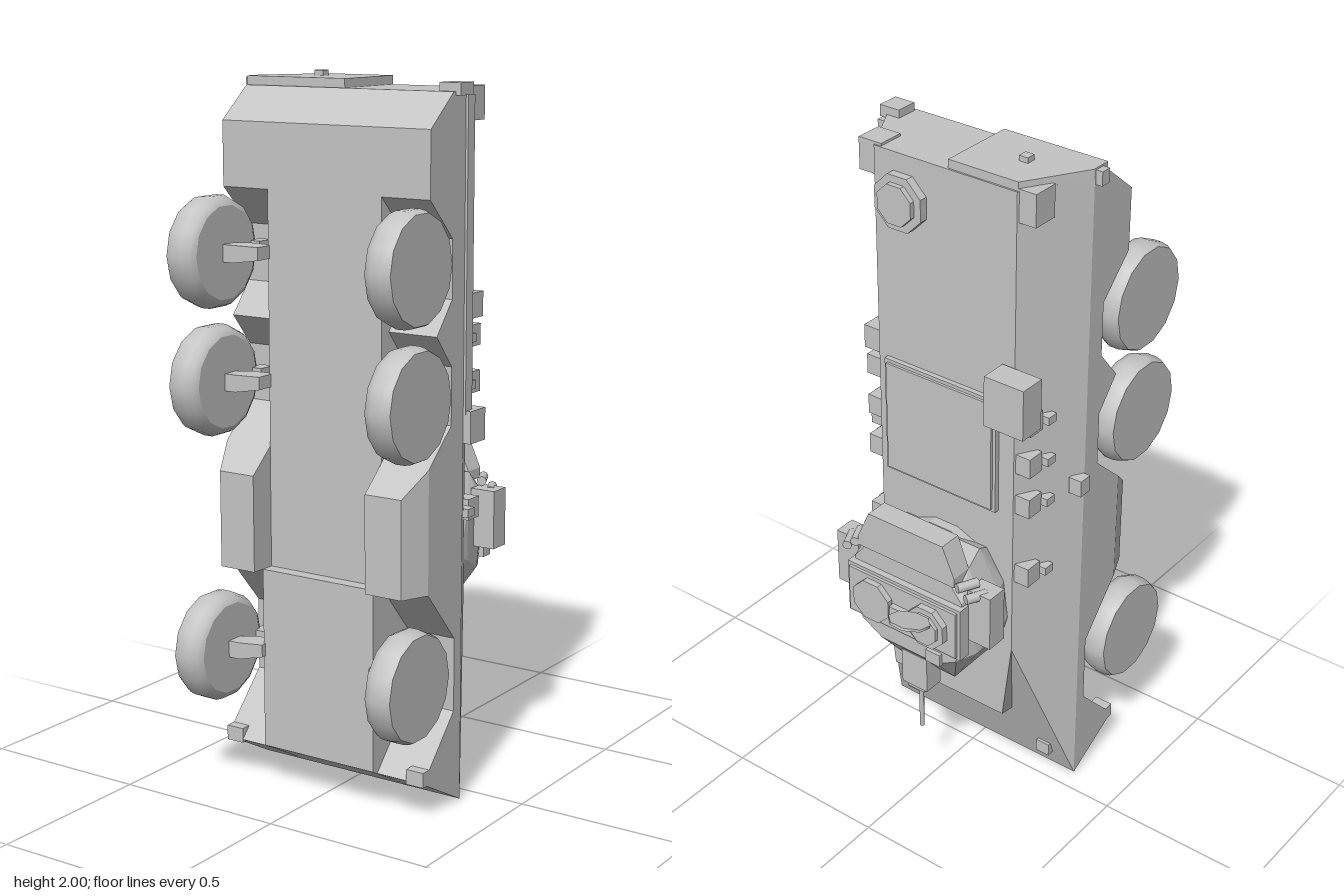
import * as THREE from 'three';
import { ConvexGeometry } from 'three/addons/geometries/ConvexGeometry.js';

// Six-wheeled armoured vehicle standing on its nose: belly +z, roof -z, nose at y = 0.
export function createModel() {
  const model = new THREE.Group();
  const grey = new THREE.MeshStandardMaterial({ color: 0xc4c4c4 });
  grey.name = 'hull grey';

  const add = (name, geo, parent = model) => {
    const mesh = new THREE.Mesh(geo, grey);
    mesh.name = name;
    parent.add(mesh);
    return mesh;
  };
  // Box from its limits on each axis
  const box = (name, x0, x1, y0, y1, z0, z1) => {
    const m = add(name, new THREE.BoxGeometry(x1 - x0, y1 - y0, z1 - z0));
    m.position.set((x0 + x1) / 2, (y0 + y1) / 2, (z0 + z1) / 2);
    return m;
  };
  // Convex solid from corner points
  const solid = (name, pts) =>
    add(name, new ConvexGeometry(pts.map(p => new THREE.Vector3(...p))));
  // Corner list mirrored over x
  const both = pts => pts.flatMap(([x, y, z]) => [[x, y, z], [-x, y, z]]);
  // Side profile of (z, y) points, extruded from x0 to x1
  const sideProfile = (name, pts, x0, x1) => {
    const shape = new THREE.Shape(pts.map(p => new THREE.Vector2(...p)));
    const geo = new THREE.ExtrudeGeometry(shape, { depth: x1 - x0, bevelEnabled: false });
    geo.rotateY(-Math.PI / 2).translate(x1, 0, 0);
    return add(name, geo);
  };
  // Disc whose axis runs along z
  const disc = (name, r0, r1, x, y, z0, z1, sides = 8) => {
    const geo = new THREE.CylinderGeometry(r0, r1, z1 - z0, sides);
    geo.rotateY(Math.PI / sides).rotateX(-Math.PI / 2);
    const m = add(name, geo.toNonIndexed());
    m.geometry.computeVertexNormals();
    m.position.set(x, y, (z0 + z1) / 2);
    return m;
  };

  // Upper hull with sloped sides and long front plate
  solid('upperHull', both([
    [0.335, 0, 0.064], [0.335, 1.96, 0.064], [0.23, 0.53, -0.12], [0.23, 1.96, -0.12],
  ]));
  // Lower hull core
  sideProfile('lowerHull', [
    [0.064, 0], [0.275, 0.115], [0.275, 0.635], [0.235, 0.635],
    [0.235, 1.87], [0.125, 1.96], [0.064, 1.96],
  ], -0.185, 0.185);
  // Raised block behind the front plate
  solid('frontBlock', both([
    [0.15, 0.2, 0], [0.2, 0.28, -0.12], [0.23, 0.53, -0.12], [0.2, 0.5, -0.05],
  ]));

  // Side skirts with wheel arches
  const skirt = [
    [0.064, 0], [0.255, 0.105], [0.1, 0.27], [0.1, 0.48], [0.235, 0.635], [0.235, 0.98],
    [0.125, 1.08], [0.125, 1.24], [0.2, 1.33], [0.125, 1.42], [0.125, 1.58],
    [0.235, 1.69], [0.235, 1.87], [0.125, 1.96], [0.064, 1.96],
  ];
  sideProfile('leftSkirt', skirt, 0.185, 0.335);
  sideProfile('rightSkirt', skirt, -0.335, -0.185);

  // Tyre, closed by flat faces
  const tyre = new THREE.LatheGeometry([
    [0.13, -0.044], [0.147, -0.034], [0.156, -0.012], [0.156, 0.015], [0.152, 0.034], [0.147, 0.044],
  ].map(p => new THREE.Vector2(...p)), 14);
  const outerFace = new THREE.CircleGeometry(0.147, 14).rotateZ(Math.PI / 2).rotateX(-Math.PI / 2);
  outerFace.translate(0, 0.044, 0);
  const innerFace = new THREE.CircleGeometry(0.13, 14).rotateZ(Math.PI / 2).rotateX(Math.PI / 2);
  innerFace.translate(0, -0.044, 0);

  for (const s of [1, -1]) {
    const sideBox = (name, x0, x1, ...rest) =>
      box(name, Math.min(s * x0, s * x1), Math.max(s * x0, s * x1), ...rest);

    // Wheels and axles
    for (const y of [0.4, 1.165, 1.52]) {
      const wheel = new THREE.Group();
      wheel.name = 'wheel';
      add('tyre', tyre, wheel);
      add('wheelFace', outerFace, wheel);
      add('wheelBack', innerFace, wheel);
      wheel.position.set(s * 0.314, y, 0.31);
      wheel.rotation.z = -s * Math.PI / 2;
      model.add(wheel);
      solid('axle', [-1, 1].flatMap(k => [
        [s * 0.18, y + k * 0.018, 0.22], [s * 0.18, y + k * 0.018, 0.29],
        [s * 0.235, y + k * 0.024, 0.25], [s * 0.235, y + k * 0.024, 0.325],
        [s * 0.275, y + k * 0.024, 0.28], [s * 0.275, y + k * 0.024, 0.325],
      ]));
      sideBox('hubBracket', 0.24, 0.28, y - 0.022, y + 0.022, 0.145, 0.2);
    }

    // Belly pannier between the axles
    solid('pannier', [
      [s * 0.185, 0.635, 0.2], [s * 0.185, 0.98, 0.2], [s * 0.335, 0.635, 0.2], [s * 0.335, 0.98, 0.2],
      [s * 0.335, 0.98, 0.235], [s * 0.335, 0.635, 0.235], [s * 0.185, 0.98, 0.235],
      [s * 0.185, 0.635, 0.315], [s * 0.185, 0.91, 0.315], [s * 0.3, 0.635, 0.315], [s * 0.3, 0.91, 0.315],
    ]);

    // Periscope blocks along the roof edge
    for (const y of [0.8, 1.03, 1.16, 1.29]) {
      sideBox('periscope', 0.22, 0.28, y - 0.03, y + 0.03, -0.115, -0.06);
      sideBox('periscopeMount', 0.25, 0.3, y - 0.012, y + 0.012, -0.06, -0.025);
    }
    sideBox('rearCornerLamp', 0.21, 0.285, 1.875, 1.967, -0.115, -0.035);
    sideBox('noseLamp', 0.28, 0.335, 0.095, 0.138, 0.2, 0.255);
    sideBox('frontLamp', 0.225, 0.27, 0.06, 0.1, 0.02, 0.07);

    // Turret cheek boxes and smoke tubes
    sideBox('cheekBox', 0.195, 0.272, 0.65, 0.82, -0.278, -0.213);
    for (const i of [0, 1]) {
      const tube = add('smokeTube', new THREE.CylinderGeometry(0.014, 0.014, 0.065, 8));
      tube.position.set(s * (0.195 + i * 0.03), 0.835 - i * 0.025, -0.278);
      tube.rotation.set(-Math.PI / 2, 0, s * 0.45);
    }
  }

  // Rear door and handle
  const door = new THREE.Shape([[-0.335, -0.12], [-0.01, -0.12], [-0.01, 0.115], [-0.23, 0.115], [-0.335, -0.06]]
    .map(p => new THREE.Vector2(...p)));
  add('rearDoor', new THREE.ExtrudeGeometry(door, { depth: 0.025, bevelEnabled: false })
    .rotateX(-Math.PI / 2)).position.y = 1.96;
  box('doorHandle', -0.184, -0.156, 1.98, 2, -0.014, 0.014);

  // Side fittings
  box('exhaustPipe', 0.29, 0.342, 1.1, 1.95, 0.03, 0.064);
  box('exhaustBox', 0.295, 0.357, 1.02, 1.11, -0.015, 0.062);
  box('rearLampLeft', 0.285, 0.35, 1.95, 1.983, 0.05, 0.115);
  box('rearLampRight', -0.355, -0.32, 1.94, 1.98, 0.068, 0.1);
  box('sideBracket', -0.355, -0.315, 1.03, 1.08, 0.02, 0.062);
  box('roofEdgeBox', 0.215, 0.287, 1.34, 1.41, -0.115, -0.04);
  box('stowageBox', -0.32, -0.193, 1.31, 1.46, -0.205, -0.125);

  // Roof hatches
  box('roofHatch', -0.18, 0.2, 0.99, 1.345, -0.135, -0.11);
  box('roofHatchLid', -0.17, 0.19, 1.0, 1.335, -0.143, -0.13);
  disc('rearHatch', 0.083, 0.083, 0.135, 1.83, -0.145, -0.11);
  disc('rearHatchLid', 0.06, 0.06, 0.135, 1.83, -0.16, -0.14);

  // Turret body
  disc('turretRing', 0.2, 0.2, 0, 0.68, -0.15, -0.11, 16);
  solid('turret', both([
    [0.14, 0.85, -0.12], [0.2, 0.76, -0.12], [0.215, 0.64, -0.12], [0.19, 0.55, -0.12], [0.09, 0.45, -0.12],
    [0.15, 0.875, -0.165], [0.215, 0.76, -0.165], [0.215, 0.62, -0.165], [0.1, 0.43, -0.215],
    [0.17, 0.86, -0.24], [0.2, 0.8, -0.24], [0.2, 0.58, -0.24],
    [0.15, 0.83, -0.298], [0.19, 0.78, -0.298], [0.17, 0.57, -0.298], [0.1, 0.53, -0.298],
  ]));
  solid('turretBustle', both([
    [0.17, 0.83, -0.235], [0.17, 0.83, -0.305], [0.17, 0.86, -0.24], [0.17, 0.86, -0.305],
    [0.13, 0.95, -0.235], [0.13, 0.95, -0.305],
  ]));

  // Turret roof, hatches and sights
  box('turretRoof', -0.2, 0.2, 0.6, 0.77, -0.318, -0.28);
  box('turretRoofCap', -0.19, 0.19, 0.61, 0.76, -0.327, -0.315);
  disc('commanderHatchRing', 0.068, 0.068, -0.098, 0.685, -0.347, -0.32);
  disc('commanderHatch', 0.05, 0.05, -0.098, 0.685, -0.358, -0.345);
  disc('gunnerHatch', 0.068, 0.068, 0.097, 0.685, -0.345, -0.32);
  box('roofSight', -0.03, 0.03, 0.65, 0.7, -0.345, -0.32);
  const lid = add('openHatchLid', new THREE.CylinderGeometry(0.06, 0.06, 0.008, 8).rotateY(Math.PI / 8));
  lid.position.set(-0.098, 0.748, -0.412);
  lid.rotation.x = 0.28;
  box('sightBlock', -0.12, -0.07, 0.535, 0.575, -0.31, -0.27);

  // Gun
  box('mantlet', -0.045, 0.045, 0.385, 0.5, -0.275, -0.212);
  box('mantletFace', -0.03, 0.03, 0.37, 0.39, -0.268, -0.22);
  add('gunBarrel', new THREE.CylinderGeometry(0.007, 0.007, 0.16, 8)).position.set(0, 0.3, -0.244);

  return model;
}
